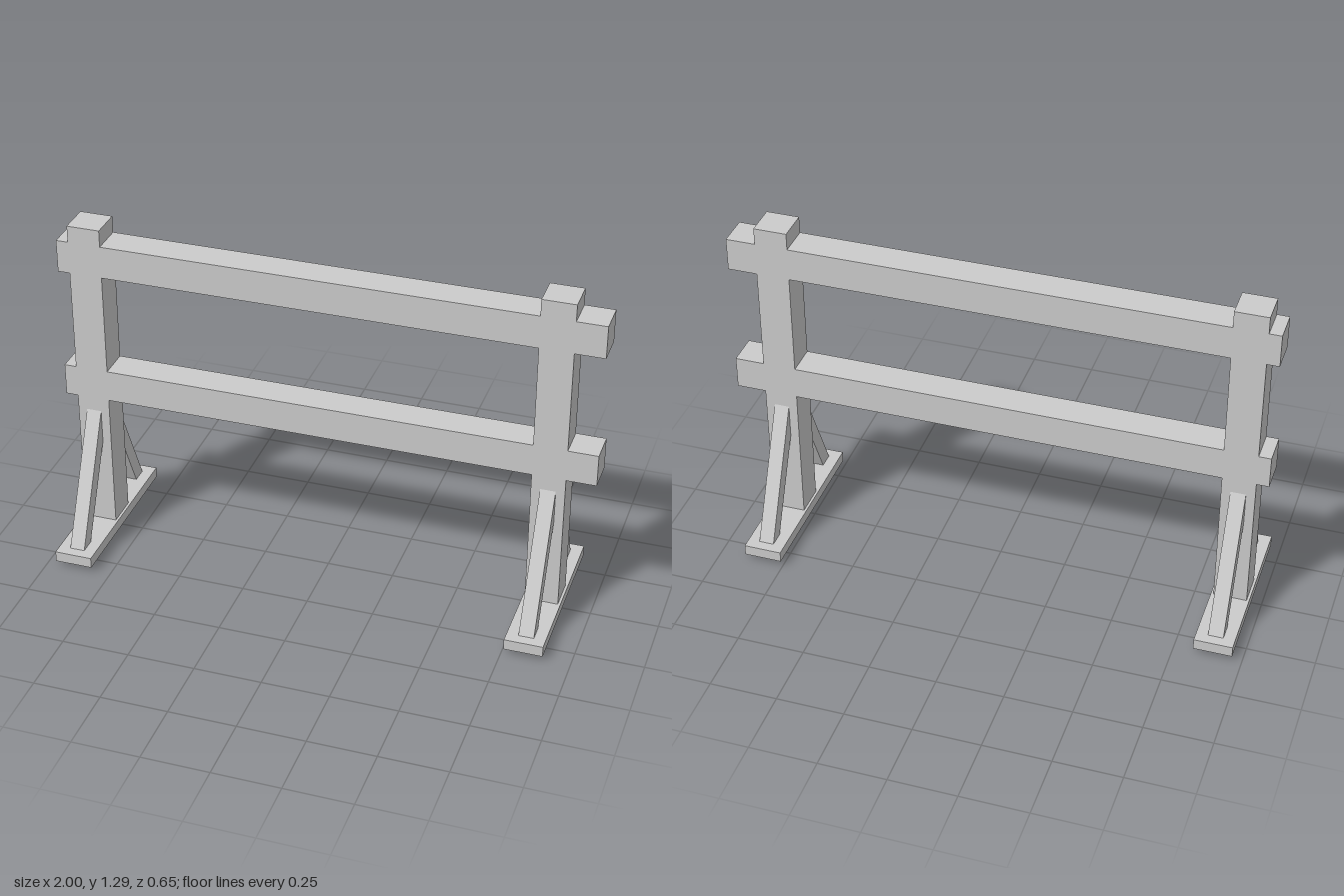
import * as THREE from 'three';

const material = new THREE.MeshStandardMaterial({ color: 0xcccccc, flatShading: true });

function box(name, w, h, d, x, y, z) {
  const mesh = new THREE.Mesh(new THREE.BoxGeometry(w, h, d), material);
  mesh.name = name;
  mesh.position.set(x, y, z);
  return mesh;
}

export function createModel() {
  const model = new THREE.Group();
  model.name = 'railFence';

  const beam = 0.123; // square section of posts and rails
  const postTop = 1.29, plateTop = 0.059, plateBottom = 0.018;
  const rails = [[0.592, 0.714], [1.102, 1.226]];

  // Horizontal rails running past both posts
  rails.forEach(([y0, y1], i) => {
    model.add(box(i ? 'upperRail' : 'lowerRail', 2, y1 - y0, beam, 0, (y0 + y1) / 2, 0));
  });

  // Brace centre line: foot in the base plate, head buried in the post
  const foot = { y: 0.0117, z: 0.2773 }, head = { y: 0.573, z: 0.0146 };
  const dy = head.y - foot.y, dz = head.z - foot.z;

  for (const [side, x] of [['right', -0.893], ['left', 0.829]]) {
    const support = new THREE.Group();
    support.name = side + 'Support';
    support.position.x = x;

    // Post sections, flush with the rails that lap through them
    const post = new THREE.Group();
    post.name = 'post';
    const spans = [[plateTop, rails[0][0]], [rails[0][1], rails[1][0]], [rails[1][1], postTop]];
    spans.forEach(([y0, y1], i) => {
      post.add(box(['postFoot', 'postMiddle', 'postHead'][i], beam, y1 - y0, beam, 0, (y0 + y1) / 2, 0));
    });
    support.add(post);

    // Base plate
    support.add(box('basePlate', 0.142, plateTop - plateBottom, 0.652, 0, (plateTop + plateBottom) / 2, 0));

    // Diagonal braces, front and back
    for (const s of [1, -1]) {
      const brace = box(s > 0 ? 'frontBrace' : 'backBrace', 0.056, Math.hypot(dy, dz), 0.056,
        0, (foot.y + head.y) / 2, s * (foot.z + head.z) / 2);
      brace.rotation.x = s * Math.atan2(dz, dy);
      support.add(brace);
    }
    model.add(support);
  }
  return model;
}
